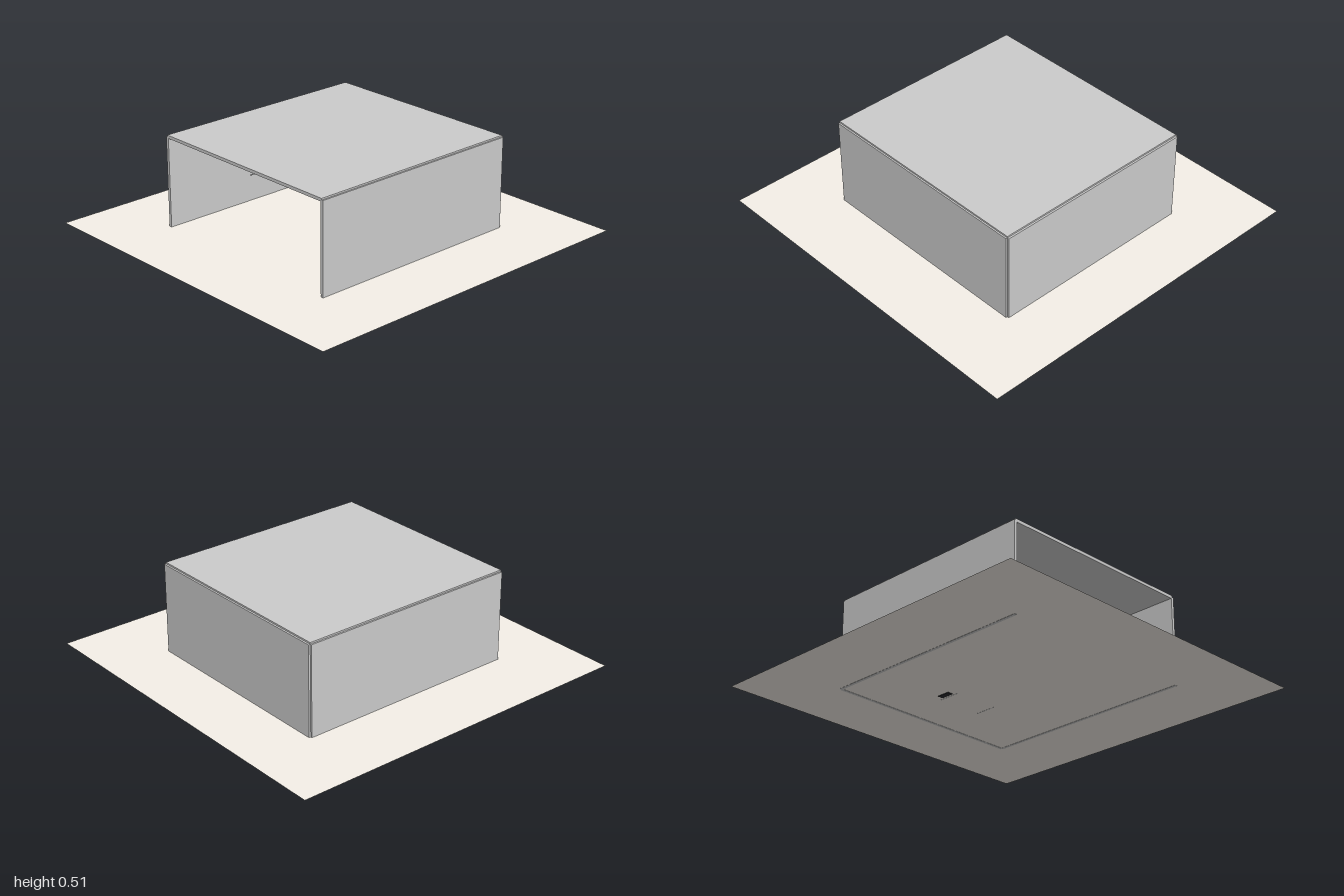
import * as THREE from 'three';
import { RoundedBoxGeometry } from 'three/addons/geometries/RoundedBoxGeometry.js';

const paint = (color) => new THREE.MeshStandardMaterial({ color });
const grey = paint(0xcccccc);
const black = paint(0x2a2a2e);
const skin = paint(0xf0d0b8);

function add(parent, name, geometry, material, x, y, z) {
  const mesh = new THREE.Mesh(geometry, material);
  mesh.name = name;
  mesh.position.set(x, y, z);
  parent.add(mesh);
  return mesh;
}

const box = (parent, name, w, h, d, x, y, z, material = grey) =>
  add(parent, name, new THREE.BoxGeometry(w, h, d), material, x, y, z);

function group(parent, name, x = 0, y = 0, z = 0) {
  const g = new THREE.Group();
  g.name = name;
  g.position.set(x, y, z);
  parent.add(g);
  return g;
}

const FLOOR = 0.003;

function addRoom(model) {
  const room = group(model, 'room');
  // ground sheet
  const floorMaterial = paint(0xf5f0e8);
  floorMaterial.side = THREE.DoubleSide;
  const floor = add(room, 'floor', new THREE.PlaneGeometry(2, 2), floorMaterial, 0, FLOOR, 0);
  floor.rotation.x = -Math.PI / 2;

  // three walls and the roof, open at the front
  for (const side of [-1, 1]) {
    box(room, side > 0 ? 'leftWall' : 'rightWall', 0.017, 0.502, 1.25, side * 0.584, 0.253, 0);
  }
  box(room, 'backWall', 1.167, 0.502, 0.017, 0, 0.253, -0.627);
  box(room, 'roof', 1.167, 0.017, 1.25, 0, 0.504, 0);

  // slatted window blind on the side wall
  const blind = group(room, 'windowBlind', -0.572, 0, -0.167);
  for (let i = 0; i < 16; i++) {
    const slat = box(blind, 'blindSlat', 0.008, 0.003, 0.5, 0, 0.15 + i * 0.019, 0);
    slat.rotation.z = 0.3;
  }

  // small fittings on the back wall
  box(room, 'wallStrip', 0.004, 0.05, 0.008, 0.335, 0.258, -0.615);
  for (const x of [-0.041, -0.015, 0.012, 0.042]) {
    box(room, 'wallPlaque', 0.016, 0.022, 0.006, x, 0.252, -0.616);
  }
}

function addDesk(model) {
  const desk = group(model, 'desk', 0.004, 0, -0.3);
  box(desk, 'deskTop', 0.268, 0.007, 0.133, 0, 0.125, 0);
  for (const side of [-1, 1]) {
    box(desk, 'deskSide', 0.006, 0.119, 0.125, side * 0.13, 0.062, 0);
  }
  box(desk, 'modestyPanel', 0.256, 0.08, 0.004, 0, 0.082, -0.055);

  // monitor on its stand
  const monitor = group(desk, 'monitor', 0.006, 0, -0.03);
  box(monitor, 'monitorFrame', 0.122, 0.074, 0.006, 0, 0.178, 0);
  box(monitor, 'screen', 0.114, 0.066, 0.002, 0, 0.178, 0.003, skin);
  box(monitor, 'monitorNeck', 0.012, 0.03, 0.006, 0, 0.14, -0.005);
  box(monitor, 'monitorFoot', 0.045, 0.003, 0.03, 0, 0.13, 0);

  // desktop items
  box(desk, 'keyboard', 0.075, 0.004, 0.025, 0, 0.13, 0.035);
  box(desk, 'deskSpeaker', 0.019, 0.062, 0.022, 0.121, 0.159, -0.03, black);
  add(desk, 'cup', new THREE.CylinderGeometry(0.008, 0.007, 0.016, 20), grey, 0.1, 0.136, 0);
  box(desk, 'mouse', 0.01, 0.006, 0.016, -0.056, 0.131, 0.035);
}

function addChair(model) {
  const chair = group(model, 'chair', -0.003, 0, -0.16);
  add(chair, 'seat', new RoundedBoxGeometry(0.08, 0.018, 0.08, 3, 0.006), grey, 0, 0.086, 0);
  add(chair, 'backrest', new RoundedBoxGeometry(0.08, 0.11, 0.012, 3, 0.005), grey, 0, 0.148, 0.037);
  add(chair, 'headPad', new RoundedBoxGeometry(0.048, 0.018, 0.01, 3, 0.004), grey, 0, 0.192, 0.041);
  add(chair, 'column', new THREE.CylinderGeometry(0.009, 0.009, 0.042, 20), black, 0, 0.058, 0);
  // five-spoke base
  for (let i = 0; i < 5; i++) {
    const spoke = group(chair, 'baseSpoke', 0, 0.038, 0);
    spoke.rotation.y = (i * Math.PI * 2) / 5;
    box(spoke, 'spoke', 0.046, 0.006, 0.009, 0.023, 0, 0, black);
  }
}

export function createModel() {
  const model = new THREE.Group();
  model.name = 'office';
  addRoom(model);
  addDesk(model);
  addChair(model);
  // computer case beside the desk
  box(model, 'computerCase', 0.032, 0.075, 0.075, -0.158, 0.0375, -0.3, black);
  return model;
}
